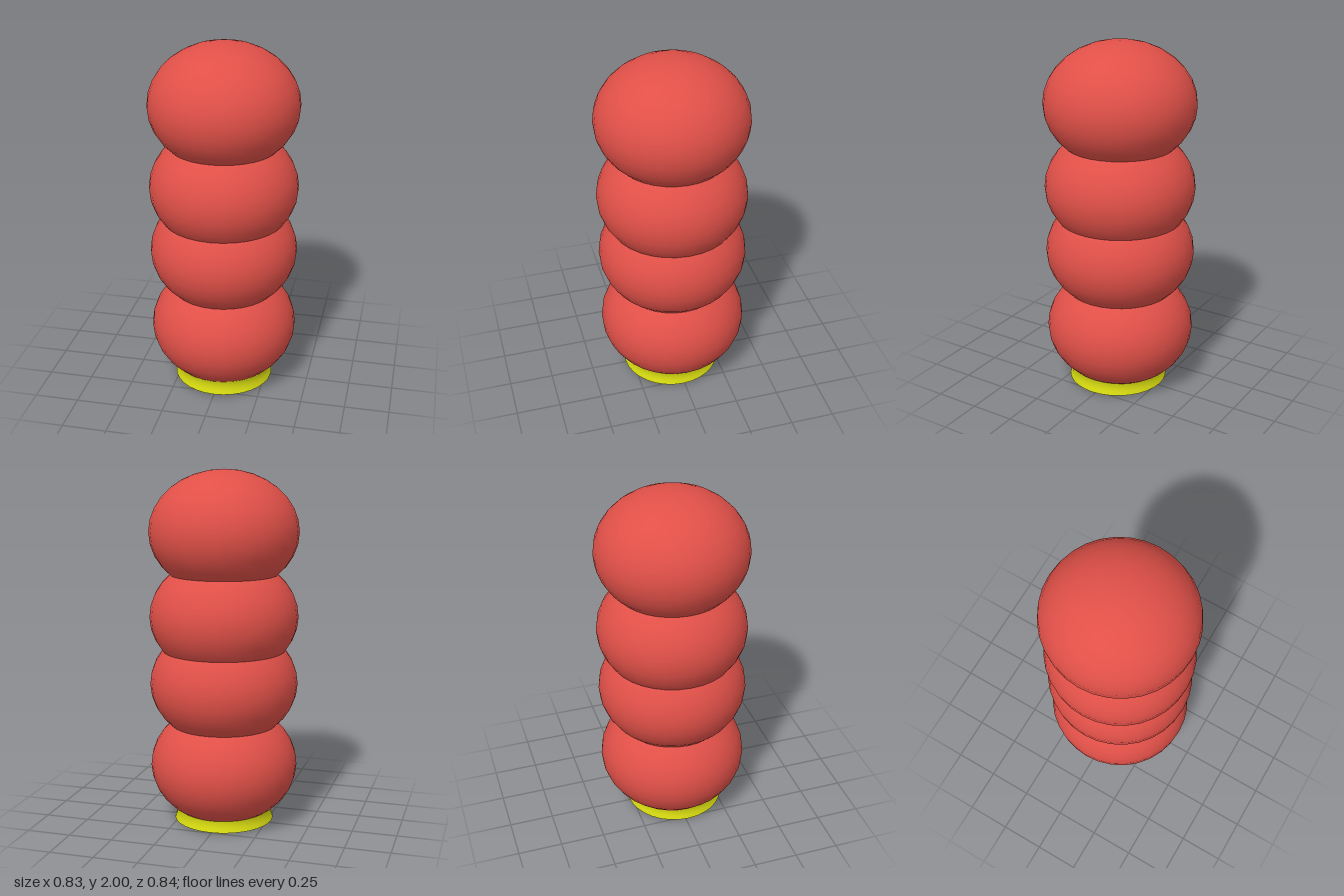
import * as THREE from 'three';
import { toCreasedNormals } from 'three/addons/utils/BufferGeometryUtils.js';

export function createModel() {
  const group = new THREE.Group();
  const red = new THREE.MeshStandardMaterial({ color: 0xe05048 });
  const yellow = new THREE.MeshStandardMaterial({ color: 0xd8dc10 });

  // stack of four flattened, overlapping balls
  const ball = new THREE.SphereGeometry(1, 32, 16);
  [0.34, 0.81, 1.19, 1.66].forEach((y, i) => {
    const segment = new THREE.Mesh(ball, red);
    segment.name = `bodySegment${i + 1}`;
    segment.position.y = y;
    segment.scale.set(0.415, 0.34, 0.42);
    group.add(segment);
  });

  // waisted collar around the bottom, set slightly forward, with a shallow underside
  const profile = [
    [0, 0.0035], [0.283, 0.011], [0.274, 0.035], [0.271, 0.06],
    [0.274, 0.085], [0.283, 0.11], [0.2, 0.12],
  ].map(([r, y]) => new THREE.Vector2(r, y));
  const collar = new THREE.Mesh(
    toCreasedNormals(new THREE.LatheGeometry(profile, 32), 0.7), yellow);
  collar.name = 'baseCollar';
  collar.position.set(0.003, 0, 0.012);
  group.add(collar);

  return group;
}
